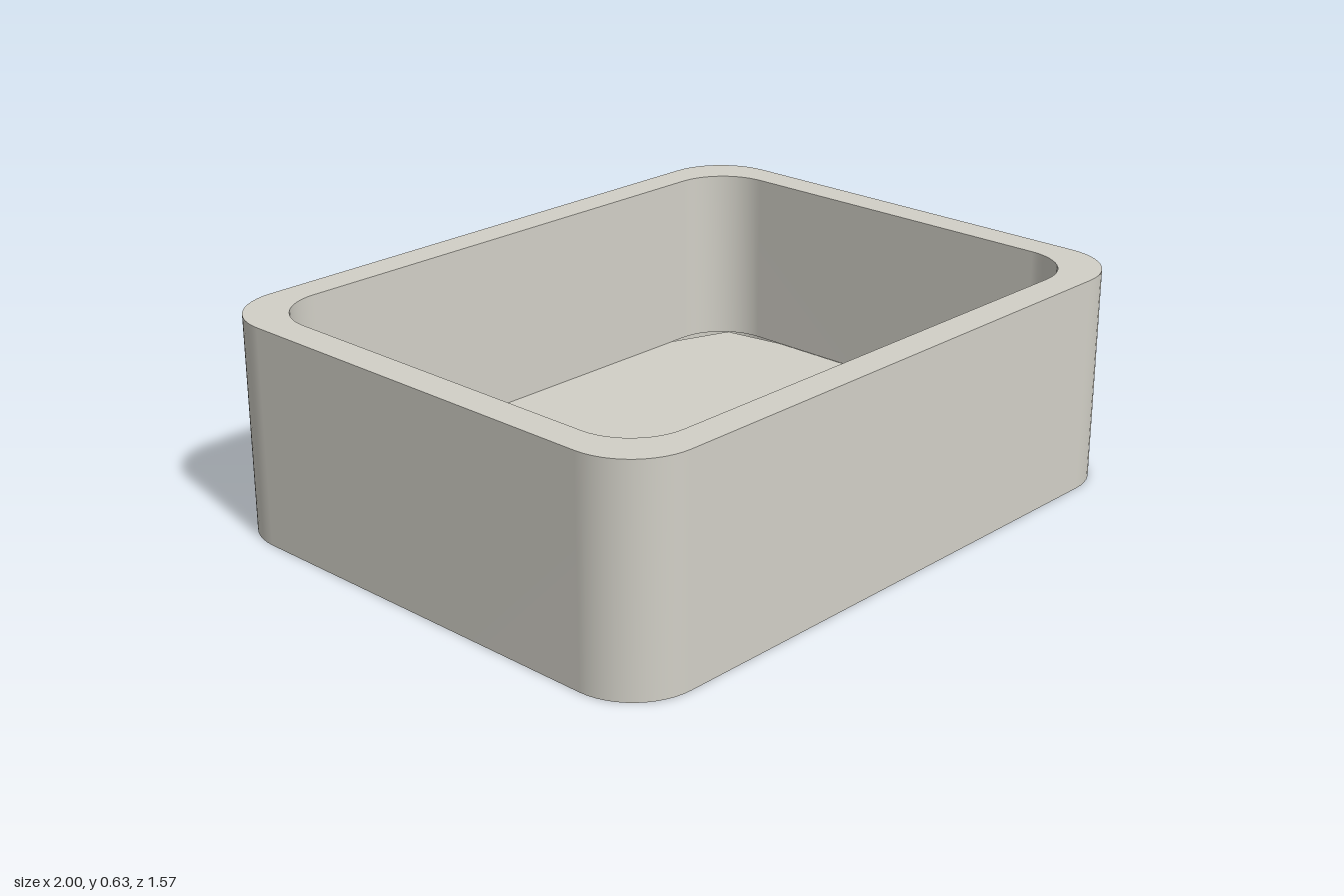
import * as THREE from 'three';

const HEIGHT = 0.63, FLOOR_Y = 0.105;

// Rounded rectangle as a counter-clockwise list of points
function roundedLoop(hx, hy, r, steps = 12) {
  const pts = [];
  [[1, 1], [-1, 1], [-1, -1], [1, -1]].forEach(([sx, sy], corner) => {
    for (let i = 0; i <= steps; i++) {
      const a = (corner + i / steps) * Math.PI / 2;
      pts.push(new THREE.Vector2(sx * (hx - r) + r * Math.cos(a), sy * (hy - r) + r * Math.sin(a)));
    }
  });
  return pts;
}

// Smooth upright band following a loop; inward turns its faces to the inside
function wallGeometry(loop, y0, y1, inward) {
  const n = loop.length, pos = [], idx = [];
  for (const p of loop) pos.push(p.x, y0, -p.y, p.x, y1, -p.y);
  for (let i = 0; i < n; i++) {
    const a = 2 * i, b = 2 * ((i + 1) % n);
    if (inward) idx.push(a, b + 1, b, a, a + 1, b + 1);
    else idx.push(a, b, b + 1, a, b + 1, a + 1);
  }
  const g = new THREE.BufferGeometry();
  g.setAttribute('position', new THREE.Float32BufferAttribute(pos, 3));
  g.setIndex(idx);
  g.computeVertexNormals();
  return g;
}

// Flat shape laid level at a height, facing up
const level = (shape, y) => new THREE.ShapeGeometry(shape).rotateX(-Math.PI / 2).translate(0, y, 0);

export function createModel() {
  const group = new THREE.Group();
  const stone = new THREE.MeshStandardMaterial({ color: 0xd2d0c7, side: THREE.DoubleSide });
  stone.name = 'pale stone';
  const dark = new THREE.MeshStandardMaterial({ color: 0x3f3f39 });
  dark.name = 'dark drain';

  const add = (name, geometry, material) => {
    const mesh = new THREE.Mesh(geometry, material);
    mesh.name = name;
    group.add(mesh);
  };

  const outer = roundedLoop(1, 0.784, 0.19);
  const inner = roundedLoop(0.906, 0.69, 0.17);

  // Outer shell is open underneath, inner wall stops at the floor
  add('outerWall', wallGeometry(outer, 0, HEIGHT, false), stone);
  add('innerWall', wallGeometry(inner, FLOOR_Y, HEIGHT, true), stone);

  // Flat rim joining both walls
  const rim = new THREE.Shape(outer);
  rim.holes.push(new THREE.Path(inner));
  add('rim', level(rim, HEIGHT), stone);

  // Raised floor with coarsely cut corners, mirrored front to back
  const half = [[0.905, 0.43], [0.873, 0.62], [0.685, 0.69], [-0.785, 0.69], [-0.905, 0.52]];
  const mirrored = half.map(([x, y]) => [x, -y]).reverse();
  const floor = new THREE.Shape([...half, ...mirrored].map(([x, y]) => new THREE.Vector2(x, y)));
  add('floor', level(floor, FLOOR_Y), stone);

  // Drain disc
  add('drain', new THREE.CylinderGeometry(0.083, 0.083, 0.005, 32).translate(0, FLOOR_Y + 0.003, 0.037), dark);

  return group;
}
